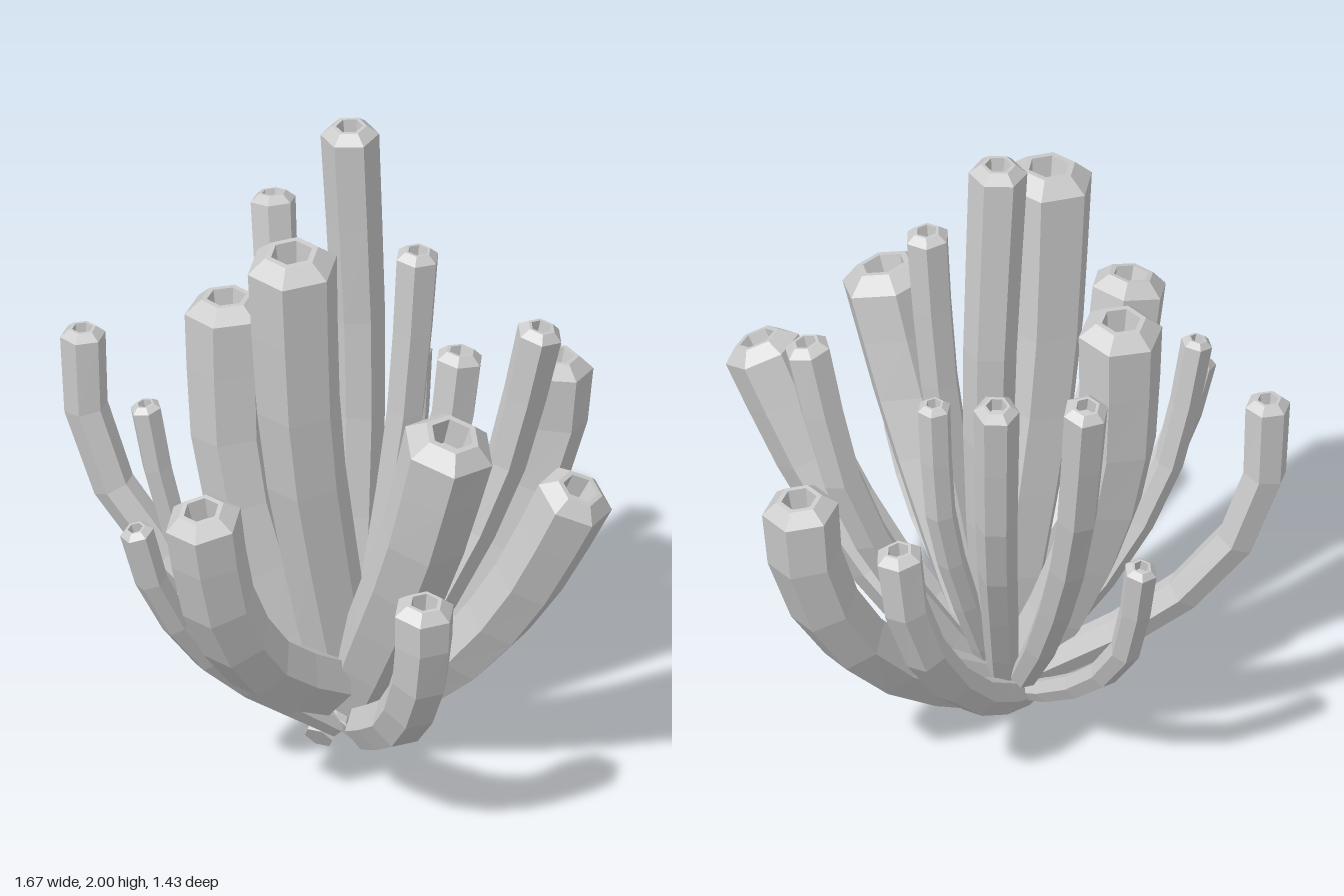
import * as THREE from 'three';

const SIDES = 6, STEPS = 6;

// One hollow-tipped hexagonal tube: rings swept along a curve, closed at the base,
// with a bevelled rim and a shallow hole at the tip.
function tubeGeometry(r0, r1, points) {
  const curve = new THREE.CatmullRomCurve3(points.map(p => new THREE.Vector3(...p)));
  const start = curve.getPoint(0), end = curve.getPoint(1);
  const side = new THREE.Vector3(end.z - start.z, 0, start.x - end.x).normalize();
  const pos = [], index = [];

  const addRing = (centre, tangent, r) => {
    const s = side.clone().addScaledVector(tangent, -side.dot(tangent)).normalize();
    const u = tangent.clone().cross(s);
    for (let j = 0; j < SIDES; j++) {
      const a = (j / SIDES) * Math.PI * 2;
      const p = centre.clone().addScaledVector(s, r * Math.cos(a)).addScaledVector(u, r * Math.sin(a));
      pos.push(p.x, p.y, p.z);
    }
  };

  // body, widening quickly near the base and slowly towards the tip
  const tip = curve.getTangentAt(1);
  const shoulder = end.clone().addScaledVector(tip, -0.33 * r1);
  for (let i = 0; i <= STEPS; i++) {
    const t = i / STEPS;
    const r = r0 + (r1 - r0) * Math.pow(t, 0.6);
    addRing(i === STEPS ? shoulder : curve.getPointAt(t), curve.getTangentAt(t), r);
  }

  // rim and hole: [radius, distance beyond the end], relative to the tip radius
  for (const [k, d] of [[0.6, 0], [0.46, 0], [0.4, -0.6]]) {
    addRing(end.clone().addScaledVector(tip, d * r1), tip, k * r1);
  }

  const rings = pos.length / 3 / SIDES;
  for (let i = 0; i < rings - 1; i++) {
    for (let j = 0; j < SIDES; j++) {
      const a = i * SIDES + j, b = i * SIDES + (j + 1) % SIDES;
      index.push(a, b, b + SIDES, a, b + SIDES, a + SIDES);
    }
  }
  // base cap and hole floor
  const last = (rings - 1) * SIDES;
  for (let j = 1; j < SIDES - 1; j++) {
    index.push(0, j + 1, j, last, last + j, last + j + 1);
  }

  const g = new THREE.BufferGeometry();
  g.setAttribute('position', new THREE.Float32BufferAttribute(pos, 3));
  g.setIndex(index);
  const flat = g.toNonIndexed();
  flat.computeVertexNormals();
  return flat;
}

export function createModel() {
  const group = new THREE.Group();
  group.name = 'tubeSponge';
  const material = new THREE.MeshStandardMaterial({ color: 0xcccccc, flatShading: true });
  const add = (name, r0, r1, ...points) => {
    const mesh = new THREE.Mesh(tubeGeometry(r0, r1, points), material);
    mesh.name = name;
    group.add(mesh);
  };

  // tall central tubes
  add('tallestTube', 0.05, 0.085, [0.03, 0.1, -0.02], [0.04, 0.6, -0.1], [0.04, 1.2, -0.15], [0.015, 2, -0.125]);
  add('tallThickTube', 0.09, 0.135, [0.03, 0.2, 0.02], [-0.01, 0.5, 0.06], [-0.075, 1.1, 0.16], [-0.095, 1.76, 0.215]);
  add('tallThinTube', 0.035, 0.066, [0.03, 0.1, 0], [0.12, 0.6, 0], [0.2, 1.15, -0.01], [0.235, 1.67, -0.015]);
  add('innerThinTube', 0.03, 0.05, [0.03, 0.08, 0], [0.1, 0.4, -0.12], [0.17, 0.8, -0.22], [0.19, 1.22, -0.24]);

  // left side
  add('backLeftThickTube', 0.08, 0.112, [0.06, 0.11, -0.06], [0.28, 0.31, -0.28], [0.43, 0.54, -0.43], [0.525, 0.8, -0.515], [0.55, 1.06, -0.53]);
  add('leftThinTube', 0.035, 0.07, [0.03, 0.08, -0.01], [0.25, 0.4, -0.1], [0.45, 0.85, -0.18], [0.57, 1.36, -0.17]);
  add('leftThickTube', 0.078, 0.115, [0.1, 0.18, 0], [0.22, 0.25, 0.03], [0.4, 0.43, 0.1], [0.58, 0.7, 0.17], [0.755, 1.07, 0.235]);
  add('frontLeftThickTube', 0.095, 0.14, [0.06, 0.2, 0.04], [0.15, 0.45, 0.14], [0.29, 0.85, 0.28], [0.4, 1.28, 0.35]);
  add('frontLeftShortTube', 0.07, 0.092, [0.13, 0.21, 0.23], [0.27, 0.38, 0.45], [0.345, 0.6, 0.56], [0.36, 0.85, 0.585]);

  // right side
  add('frontRightThickTube', 0.095, 0.115, [0, 0.3, 0.16], [-0.15, 0.48, 0.39], [-0.245, 0.75, 0.545], [-0.29, 1.11, 0.615]);
  add('frontRightThinTube', 0.03, 0.05, [0, 0.07, 0.01], [-0.1, 0.17, 0.09], [-0.3, 0.4, 0.28], [-0.45, 0.7, 0.42], [-0.51, 0.94, 0.46]);
  add('rightThinTube', 0.03, 0.047, [0, 0.07, 0], [-0.1, 0.18, 0.04], [-0.3, 0.45, 0.11], [-0.45, 0.78, 0.16], [-0.53, 1.2, 0.19]);
  add('rightThickTube', 0.085, 0.125, [-0.05, 0.18, -0.02], [-0.18, 0.45, -0.03], [-0.31, 0.9, -0.05], [-0.335, 1.43, -0.065]);
  add('rightOuterTube', 0.045, 0.067, [0.09, 0.05, -0.01], [-0.2, 0.25, -0.07], [-0.47, 0.47, -0.11], [-0.66, 0.7, -0.13], [-0.76, 0.98, -0.14], [-0.77, 1.24, -0.14]);

  // back
  add('backRightShortTube', 0.03, 0.05, [-0.02, 0.06, -0.01], [-0.2, 0.22, -0.21], [-0.38, 0.5, -0.41], [-0.44, 0.86, -0.48]);
  add('backRightTube', 0.04, 0.068, [-0.06, 0.2, -0.14], [-0.14, 0.45, -0.28], [-0.24, 0.92, -0.47], [-0.29, 1.49, -0.58]);
  add('backTube', 0.04, 0.067, [0.01, 0.08, -0.04], [0, 0.4, -0.2], [-0.01, 0.85, -0.4], [-0.02, 1.41, -0.495]);
  add('backLeftTube', 0.045, 0.072, [-0.05, 0.035, 0.02], [0.04, 0.23, -0.3], [0.14, 0.47, -0.52], [0.22, 0.72, -0.62], [0.25, 0.98, -0.64]);

  return group;
}
